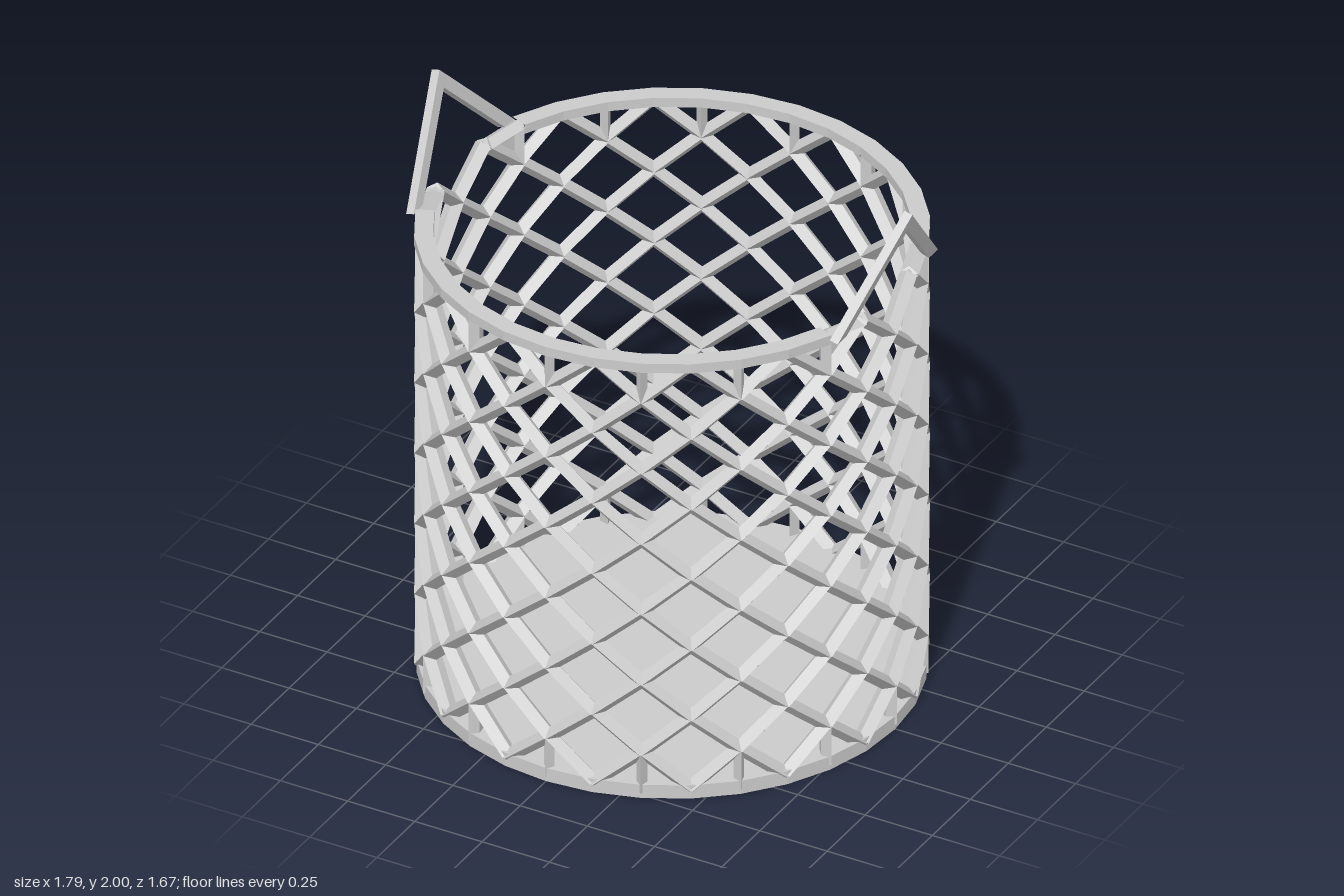
import * as THREE from 'three';
import { mergeGeometries } from 'three/addons/utils/BufferGeometryUtils.js';

const SIDES = 32, STEP = (Math.PI * 2) / SIDES;
const R_IN = 0.775, R_OUT = 0.837, R_MID = (R_IN + R_OUT) / 2;
const LEVELS = 12, LEVEL_H = 0.135, Y0 = 0.03;

const grey = new THREE.MeshStandardMaterial({ color: 0xcccccc, flatShading: true });

// Point on the basket wall: i counts round from the front towards +x
const wall = (i, y, r = R_MID) =>
  new THREE.Vector3(r * Math.sin(i * STEP), y, r * Math.cos(i * STEP));
const levelY = (k) => Y0 + k * LEVEL_H;

// Bar with a diamond cross-section whose ridges face out of and into the basket
function bar(a, b, halfWidth, halfDepth = (R_OUT - R_IN) / 2) {
  const along = b.clone().sub(a);
  const length = along.length();
  along.normalize();
  const mid = a.clone().add(b).multiplyScalar(0.5);
  const side = along.clone().cross(new THREE.Vector3(mid.x, 0, mid.z)).normalize();
  const out = side.clone().cross(along);
  const g = new THREE.CylinderGeometry(1, 1, length, 4, 1);
  g.scale(halfWidth, 1, halfDepth);
  g.applyMatrix4(new THREE.Matrix4().makeBasis(side, along, out).setPosition(mid));
  return g;
}

function addMesh(parent, name, geometry) {
  const mesh = new THREE.Mesh(geometry, grey);
  mesh.name = name;
  parent.add(mesh);
  return mesh;
}

export function createModel() {
  const basket = new THREE.Group();
  basket.name = 'latticeBasket';

  // Floor disc
  const floor = new THREE.CylinderGeometry(0.83, 0.83, 0.05, SIDES);
  floor.translate(0, 0.025, 0);
  addMesh(basket, 'floor', floor);

  // Criss-cross wall, with short posts at the foot and under the rim
  const diagonals = [], posts = [];
  for (let i = 0; i < SIDES; i++) {
    for (let k = 0; k < LEVELS; k++) {
      if ((i + k) % 2 === 0) continue;
      for (const d of [-1, 1]) {
        diagonals.push(bar(wall(i, levelY(k)), wall(i + d, levelY(k + 1)), 0.024));
      }
    }
    if (i % 2 === 0) {
      posts.push(bar(wall(i, 0.02), wall(i, levelY(1)), 0.018));
      if (i % 16 !== 8) posts.push(bar(wall(i, levelY(LEVELS - 1)), wall(i, 1.66), 0.018));
    }
  }
  addMesh(basket, 'latticeWall', mergeGeometries(diagonals));
  addMesh(basket, 'posts', mergeGeometries(posts));

  // Rim in two arcs, open below each handle
  const rimProfile = [
    [R_IN, 1.635], [R_OUT, 1.635], [R_OUT, 1.67], [R_IN, 1.67], [R_IN, 1.635],
  ].map(([r, y]) => new THREE.Vector2(r, y));
  const arcs = [10, 26].map((start) =>
    new THREE.LatheGeometry(rimProfile, 12, start * STEP, 12 * STEP));
  addMesh(basket, 'rim', mergeGeometries(arcs));

  // Pointed handle frame, leaning outwards
  const frame = new THREE.Shape([
    [0.33, 0], [0, 0.355], [-0.33, 0], [-0.272, 0], [0, 0.29], [0.272, 0],
  ].map(([x, y]) => new THREE.Vector2(x, y)));
  const frameGeo = new THREE.ExtrudeGeometry(frame, { depth: 0.03, bevelEnabled: false });
  frameGeo.rotateY(-Math.PI / 2).rotateZ(-0.26).translate(0.802, 1.648, 0);

  // Sloping links and triangular gussets joining handle, rim and lattice
  const joints = [];
  for (const s of [-1, 1]) {
    const corner = 8 + 2 * s, inner = 8 + s;
    joints.push(bar(wall(inner, 1.64), wall(corner, 1.655), 0.02));
    const plan = [wall(corner, 1.53), wall(corner, 1.65), wall(corner - 0.7 * s, 1.61)];
    const gusset = new THREE.BufferGeometry().setFromPoints(
      [...plan, plan[0], plan[2], plan[1]].map((p) => p.clone()));
    gusset.computeVertexNormals();
    gusset.setAttribute('uv', new THREE.Float32BufferAttribute(new Array(12).fill(0), 2));
    joints.push(gusset);
  }
  const jointGeo = mergeGeometries(joints.map((g) => (g.index ? g.toNonIndexed() : g)));

  for (const [name, turn] of [['leftHandle', 0], ['rightHandle', Math.PI]]) {
    const handle = new THREE.Group();
    handle.name = name;
    addMesh(handle, 'handleFrame', frameGeo);
    addMesh(handle, 'handleJoints', jointGeo);
    handle.rotation.y = turn;
    basket.add(handle);
  }
  return basket;
}
